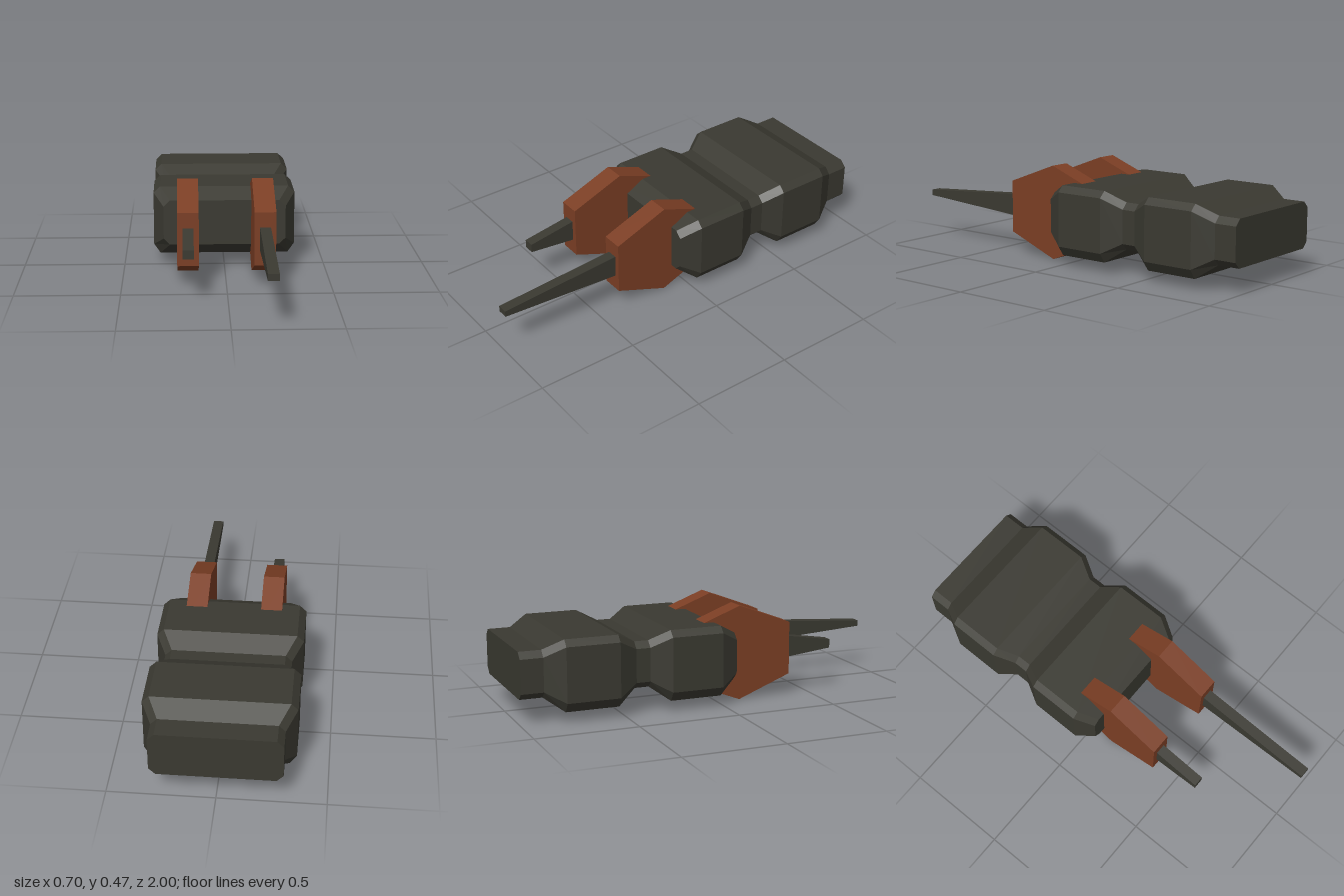
import * as THREE from 'three';

const darkShell = new THREE.MeshStandardMaterial({ color: 0x3a3931, flatShading: true });
darkShell.name = 'darkShell';
const rustBrown = new THREE.MeshStandardMaterial({ color: 0x7b3e24, flatShading: true });
rustBrown.name = 'rustBrown';

// Eight-cornered ring, counter-clockwise seen from the front
function ring(w, y0, y1, cx, cyLow, cyHigh, z) {
  return [
    [w, y0 + cyLow, z], [w, y1 - cyHigh, z], [w - cx, y1, z], [cx - w, y1, z],
    [-w, y1 - cyHigh, z], [-w, y0 + cyLow, z], [cx - w, y0, z], [w - cx, y0, z],
  ];
}
const wide = z => ring(0.352, 0.054, 0.397, 0.032, 0.047, 0.031, z);
const narrow = z => ring(0.302, 0.122, 0.347, 0.031, 0.031, 0.031, z);

// Closed, flat-faced skin through rings listed from front to back
function loft(rings) {
  const n = rings[0].length, last = (rings.length - 1) * n, index = [];
  for (let i = 0; i < rings.length - 1; i++) {
    for (let j = 0; j < n; j++) {
      const a = i * n + j, b = i * n + (j + 1) % n;
      index.push(a, a + n, b, b, a + n, b + n);
    }
  }
  for (let j = 1; j < n - 1; j++) {
    index.push(0, j, j + 1, last, last + j + 1, last + j);
  }
  const g = new THREE.BufferGeometry();
  g.setAttribute('position', new THREE.Float32BufferAttribute(rings.flat(2), 3));
  g.setIndex(index);
  const flat = g.toNonIndexed();
  flat.computeVertexNormals();
  return flat;
}

// Side profile (z, y) given thickness across x
function sidePlate(points, thickness) {
  const shape = new THREE.Shape(points.map(([z, y]) => new THREE.Vector2(z, y)));
  const g = new THREE.ExtrudeGeometry(shape, { depth: thickness, bevelEnabled: false });
  g.translate(0, 0, -thickness / 2);
  g.rotateY(-Math.PI / 2);
  return g;
}

function part(name, geometry, material, x = 0) {
  const mesh = new THREE.Mesh(geometry, material);
  mesh.name = name;
  mesh.position.x = x;
  return mesh;
}

export function createModel() {
  const model = new THREE.Group();
  model.name = 'prongedBlock';

  // Two bulging segments, a waist and a rear stub
  model.add(part('body', loft([
    narrow(0.075), wide(-0.018), wide(-0.275), narrow(-0.37), narrow(-0.44),
    wide(-0.535), wide(-0.795), narrow(-0.89), narrow(-1),
  ]), darkShell));

  // Hexagonal holders, each with a tapered prong; the left prong is longer
  const holder = sidePlate([
    [0.39, 0.105], [0.39, 0.366], [0.12, 0.468], [-0.15, 0.366], [-0.15, 0.105], [0.12, 0],
  ], 0.103);
  const prongs = [
    { side: 'right', x: -0.183, tip: 0.63, low: 0.21, high: 0.253 },
    { side: 'left', x: 0.183, tip: 1, low: 0.221, high: 0.251 },
  ];
  for (const { side, x, tip, low, high } of prongs) {
    model.add(part(side + 'Holder', holder, rustBrown, x));
    model.add(part(side + 'Prong', sidePlate([
      [0.37, 0.181], [tip, low], [tip, high], [0.37, 0.294],
    ], 0.052), darkShell, x));
  }
  return model;
}
